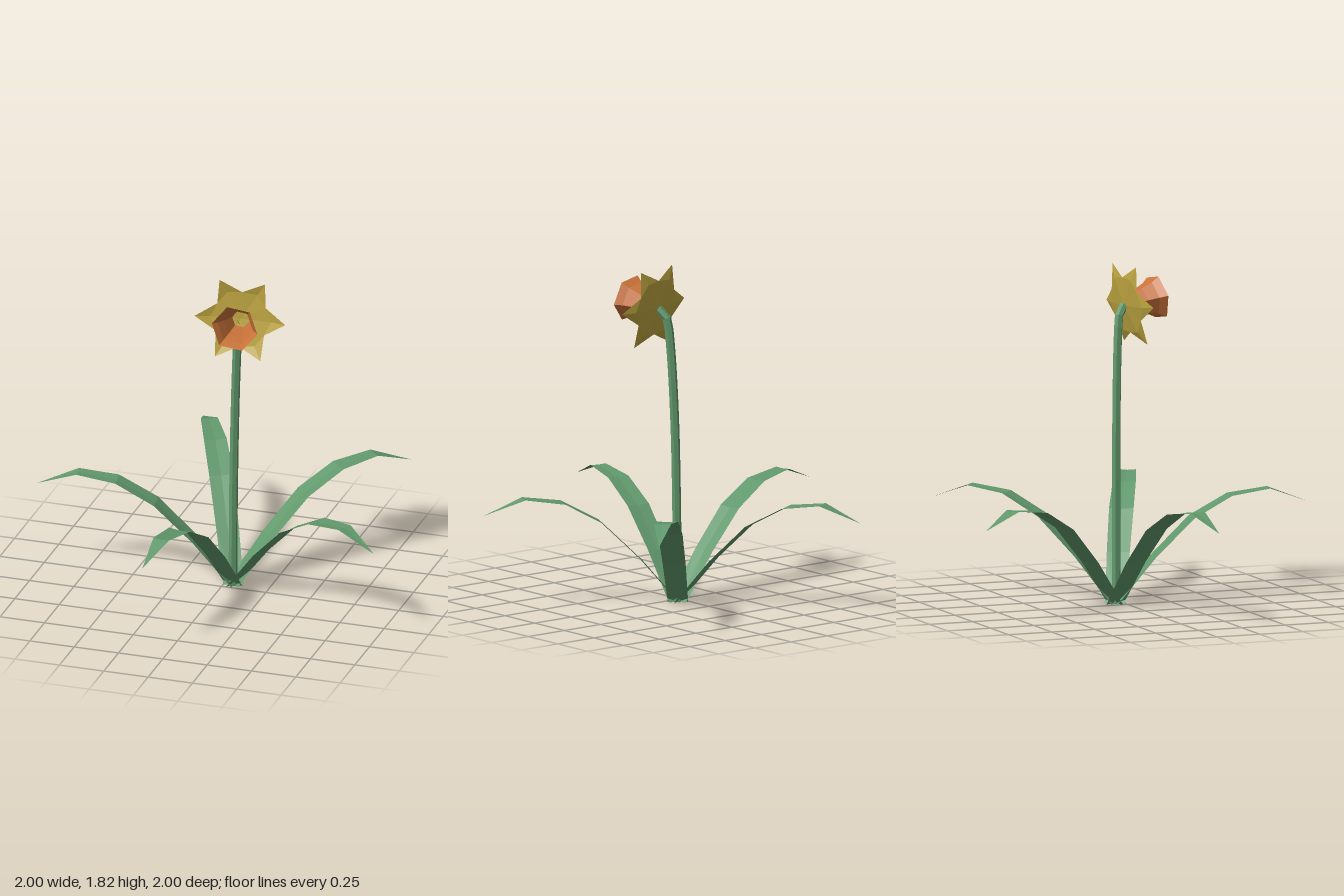
import * as THREE from 'three';

const mat = (name, color) => {
  const m = new THREE.MeshStandardMaterial({ color, flatShading: true, side: THREE.DoubleSide });
  m.name = name;
  return m;
};

const rad = THREE.MathUtils.degToRad;

function surface(positions, index) {
  const g = new THREE.BufferGeometry();
  g.setAttribute('position', new THREE.Float32BufferAttribute(positions, 3));
  g.setIndex(index);
  g.computeVertexNormals();
  return g;
}

// Arched blade along +x: each section is [distance, height, half width], with a shallow fold
function leafGeometry() {
  const sections = [
    [0, 0, 0.055], [0.21, 0.25, 0.062], [0.42, 0.455, 0.066],
    [0.63, 0.57, 0.062], [0.845, 0.6, 0.046], [1.062, 0.517, 0.001],
  ];
  const pos = [], index = [];
  sections.forEach(([r, y, w], i) => {
    const fold = i === 0 ? 0 : w * 0.08;
    pos.push(r, y, -w, r, y - fold, 0, r, y, w);
    if (i === 0) return;
    const a = (i - 1) * 3;
    for (const k of [a, a + 1]) index.push(k, k + 1, k + 3, k + 1, k + 4, k + 3);
  });
  return surface(pos, index);
}

// Pointed petal along +x, facing +z, with a creased midline
function petalGeometry() {
  const n = 0.152, c = n * Math.cos(Math.PI / 6), s = n * Math.sin(Math.PI / 6);
  return surface(
    [0, 0, 0, c, -s, 0.016, 0.165, 0, 0.014, 0.247, 0, 0.04, c, s, 0.016],
    [0, 1, 2, 1, 3, 2, 2, 3, 4, 0, 2, 4]
  );
}

export function createModel() {
  const green = mat('leaf green', 0x61986c);
  const yellow = mat('petal yellow', 0xbda540);
  const orange = mat('trumpet orange', 0xca7339);

  const model = new THREE.Group();
  model.name = 'flowerPlant';
  const add = (parent, name, geometry, material) => {
    const mesh = new THREE.Mesh(geometry, material);
    mesh.name = name;
    parent.add(mesh);
    return mesh;
  };

  // Five leaves fanned around the stem foot
  const leaf = leafGeometry();
  for (let i = 0; i < 5; i++) {
    const mesh = add(model, 'leaf', leaf, green);
    mesh.position.set(0.05, 0, -0.05);
    mesh.rotation.y = -rad(26.9 + 72 * i);
  }

  // Stem bending forward under the bloom
  const path = new THREE.CatmullRomCurve3([
    [0.05, 0, -0.045], [0.053, 0.5, -0.043], [0.063, 1, -0.038],
    [0.08, 1.4, -0.024], [0.092, 1.54, -0.012], [0.105, 1.58, 0], [0.12, 1.597, 0.026],
  ].map((p) => new THREE.Vector3(...p)));
  add(model, 'stem', new THREE.TubeGeometry(path, 24, 0.024, 6), green);

  // Bloom tilted slightly up and to its left
  const bloom = new THREE.Group();
  bloom.name = 'bloom';
  bloom.position.set(0.12, 1.6, 0.028);
  bloom.lookAt(0.27, 1.75, 1.028);
  model.add(bloom);

  const petal = petalGeometry();
  for (let i = 0; i < 6; i++) {
    add(bloom, 'petal', petal, yellow).rotation.z = rad(60 * i - 2);
  }

  // Open six-sided trumpet
  const profile = [[0.048, 0.008], [0.078, 0.11], [0.1, 0.17], [0.126, 0.21]];
  const trumpet = new THREE.LatheGeometry(profile.map((p) => new THREE.Vector2(...p)), 6);
  trumpet.rotateX(Math.PI / 2).rotateZ(rad(20));
  add(bloom, 'trumpet', trumpet, orange);

  return model;
}
